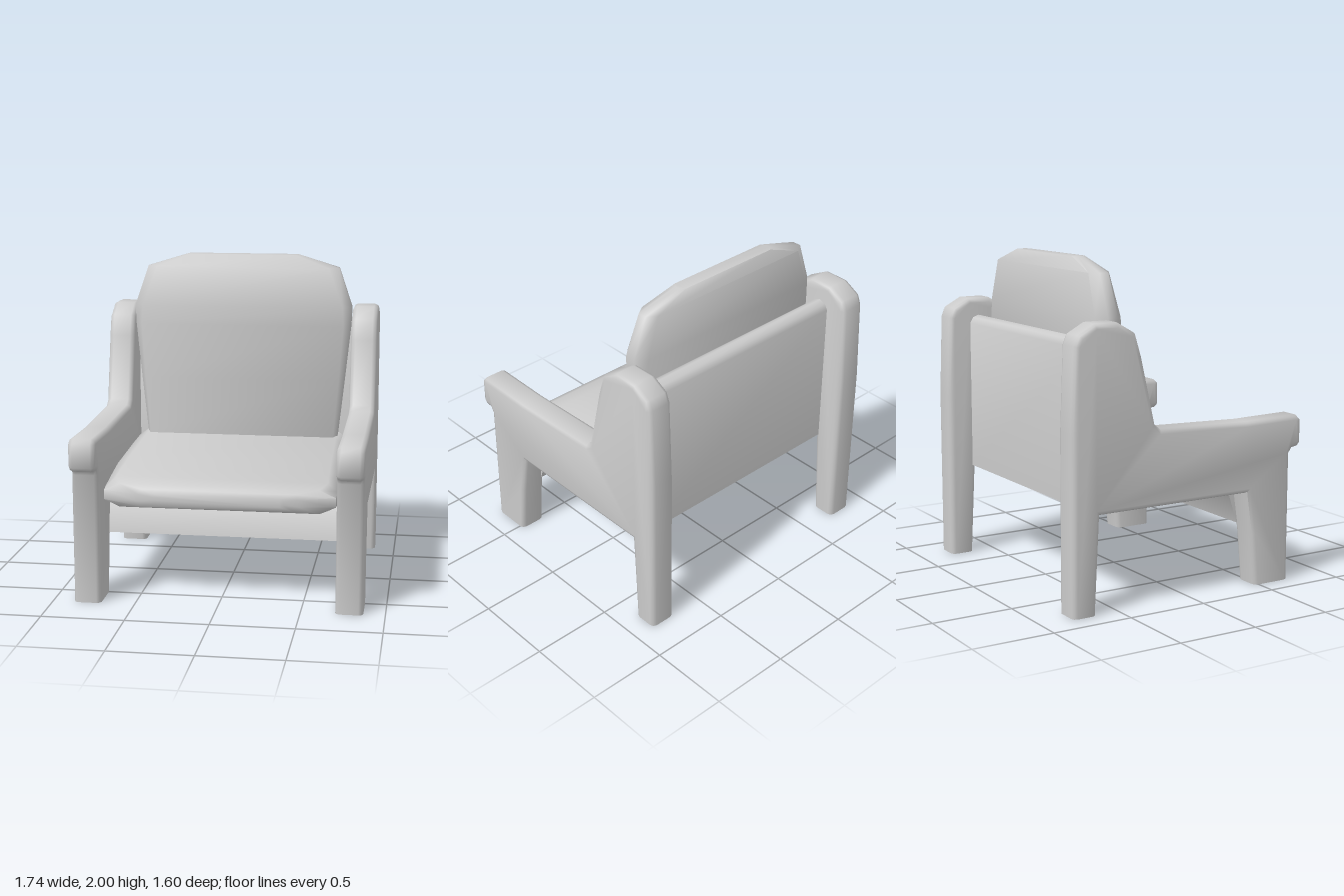
import * as THREE from 'three';
import { toCreasedNormals, mergeVertices } from 'three/addons/utils/BufferGeometryUtils.js';

const material = new THREE.MeshStandardMaterial({ color: 0xcccccc, side: THREE.DoubleSide });

function addMesh(group, name, geometry) {
  const mesh = new THREE.Mesh(geometry, material);
  mesh.name = name;
  group.add(mesh);
  return mesh;
}

// Extrudes a side profile of [z, y] points across x, centred on x = 0
function extrudeAcross(points, width, bevel) {
  const shape = new THREE.Shape(points.map(([z, y]) => new THREE.Vector2(z, y)));
  const geo = new THREE.ExtrudeGeometry(shape, {
    depth: width - 2 * bevel, bevelEnabled: bevel > 0,
    bevelSize: bevel, bevelThickness: bevel, bevelOffset: -bevel, bevelSegments: 2,
  });
  geo.translate(0, 0, bevel - width / 2);
  geo.rotateY(-Math.PI / 2);
  return geo;
}

// Lofts chamfered cross-sections along z: [z, half width, half width at lo, half width at hi, lo, hi]
function loft(sections) {
  const positions = [], index = [], n = 8;
  for (const [z, w, fLo, fHi, lo, hi] of sections) {
    const c = 0.3 * (hi - lo);
    const half = [[fLo, lo], [w, lo + c], [w, hi - c], [fHi, hi]];
    const ring = [...half, ...half.map(([x, y]) => [-x, y]).reverse()];
    for (const [x, y] of ring) positions.push(x, y, z);
  }
  const last = (sections.length - 1) * n;
  for (let s = 0; s < last; s += n) {
    for (let i = 0; i < n; i++) {
      const a = s + i, b = s + (i + 1) % n;
      index.push(a, b, b + n, a, b + n, a + n);
    }
  }
  for (let i = 1; i < n - 1; i++) {
    index.push(0, i + 1, i, last, last + i, last + i + 1);
  }
  const geo = new THREE.BufferGeometry();
  geo.setAttribute('position', new THREE.Float32BufferAttribute(positions, 3));
  geo.setIndex(index);
  return toCreasedNormals(geo, 1.3);
}

// Side frame: both legs, armrest and rear post in one rounded slab
function sideFrameGeometry() {
  const geo = extrudeAcross([
    [0.47, 0], [0.72, 0], [0.72, 0.79], [0.74, 0.82], [0.78, 0.825], [0.803, 0.85],
    [0.803, 0.995], [0.775, 1.022], [0.4, 1.015], [-0.21, 1.035], [-0.25, 1.065],
    [-0.345, 1.47], [-0.385, 1.6], [-0.5, 1.667], [-0.65, 1.667], [-0.755, 1.61],
    [-0.78, 1.55], [-0.8, 1.05], [-0.8, 0], [-0.65, 0], [-0.62, 0.58],
    [0.4, 0.58], [0.44, 0.32],
  ], 0.165, 0.028);
  // Square the feet off at the floor and leave them open underneath
  const p = geo.attributes.position;
  for (let i = 0; i < p.count; i++) if (p.getY(i) < 0.05) p.setY(i, 0);
  geo.deleteAttribute('normal');
  geo.deleteAttribute('uv');
  const merged = mergeVertices(geo);
  const q = merged.attributes.position, index = merged.index.array, kept = [];
  for (let i = 0; i < index.length; i += 3) {
    const tri = [...index.slice(i, i + 3)];
    if (tri.some((v) => q.getY(v) > 0)) kept.push(...tri);
  }
  merged.setIndex(kept);
  return toCreasedNormals(merged, 1);
}

export function createModel() {
  const chair = new THREE.Group();
  chair.name = 'armchair';

  const frame = sideFrameGeometry();
  for (const [name, side] of [['leftSideFrame', 1], ['rightSideFrame', -1]]) {
    addMesh(chair, name, frame).position.x = side * 0.7875;
  }

  // Seat board curving down into a front apron
  addMesh(chair, 'seatBoard', toCreasedNormals(extrudeAcross([
    [-0.63, 0.62], [0.1, 0.62], [0.29, 0.605], [0.36, 0.575], [0.43, 0.367],
    [0.445, 0.367], [0.395, 0.6], [0.3, 0.64], [-0.63, 0.64],
  ], 1.46, 0), 1));

  // Back panel between the rear posts, with a rounded top edge
  addMesh(chair, 'backPanel', toCreasedNormals(extrudeAcross([
    [-0.645, 1.51], [-0.625, 1.545], [-0.585, 1.56], [-0.545, 1.545],
    [-0.525, 1.51], [-0.525, 0.58], [-0.645, 0.58],
  ], 1.46, 0), 0.8));

  // Seat cushion, rounded and narrowed at the nose
  addMesh(chair, 'seatCushion', loft([
    [-0.5, 0.705, 0.64, 0.62, 0.63, 0.84],
    [-0.3, 0.705, 0.64, 0.62, 0.63, 0.83],
    [0.2, 0.705, 0.64, 0.63, 0.63, 0.79],
    [0.4, 0.703, 0.64, 0.635, 0.59, 0.765],
    [0.53, 0.7, 0.64, 0.64, 0.575, 0.745],
    [0.63, 0.695, 0.6, 0.6, 0.582, 0.725],
    [0.675, 0.48, 0.46, 0.46, 0.6, 0.705],
    [0.695, 0.39, 0.37, 0.37, 0.63, 0.68],
  ]));

  // Back cushion, lofted upwards, widening to the shoulders and narrowing to the top
  const back = loft([
    [0.72, 0.615, 0.59, 0.59, 0.33, 0.52],
    [0.84, 0.625, 0.6, 0.6, 0.33, 0.52],
    [1.2, 0.664, 0.63, 0.63, 0.337, 0.52],
    [1.55, 0.7, 0.655, 0.65, 0.347, 0.52],
    [1.67, 0.705, 0.65, 0.64, 0.355, 0.52],
    [1.92, 0.62, 0.56, 0.56, 0.378, 0.515],
    [2.0, 0.36, 0.34, 0.34, 0.41, 0.495],
  ]);
  back.rotateX(-Math.PI / 2);
  addMesh(chair, 'backCushion', back);

  return chair;
}
